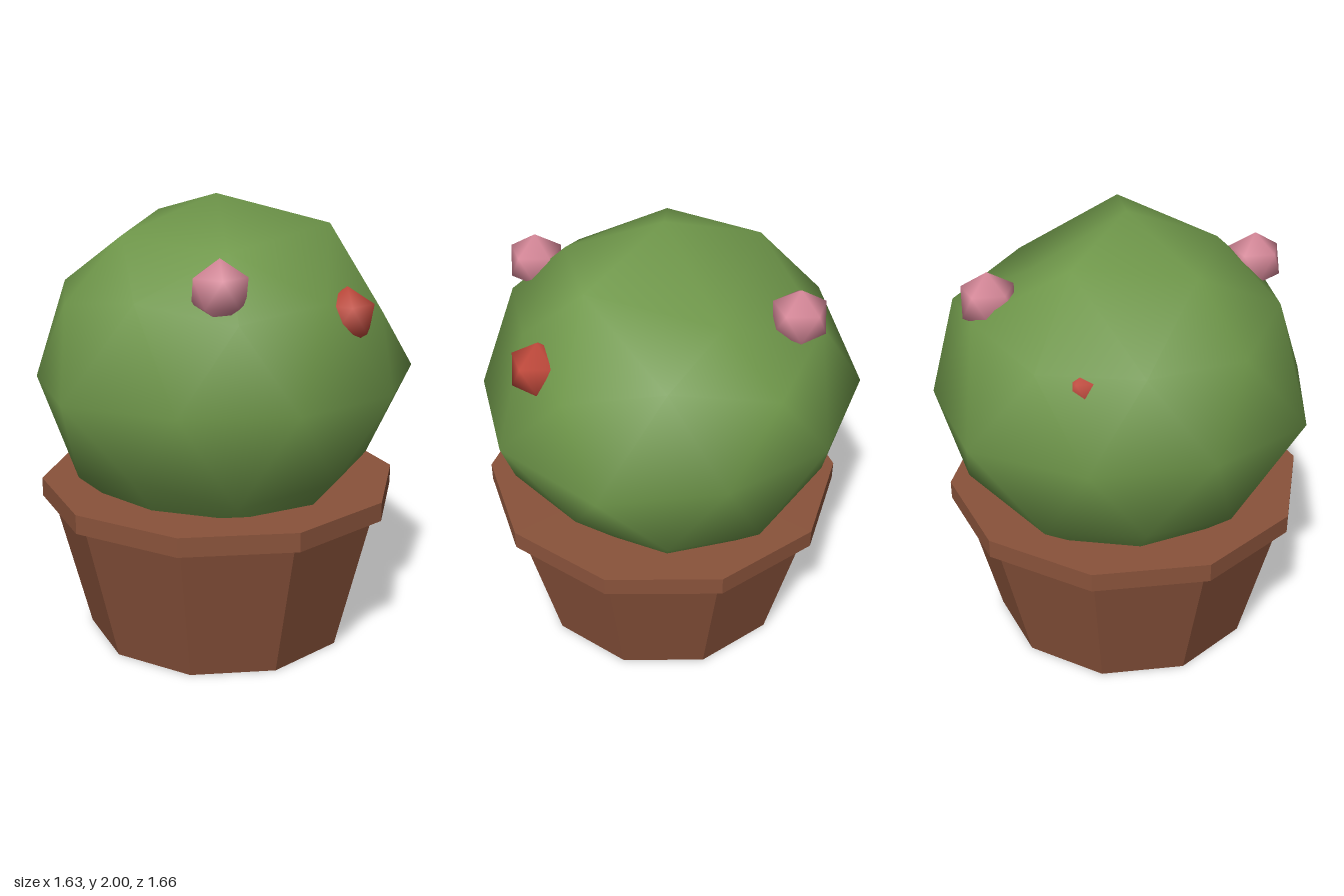
import * as THREE from 'three';

const mat = (name, color) => {
  const m = new THREE.MeshStandardMaterial({ color });
  m.name = name;
  return m;
};

// Icosahedron with a vertex at the top, split `splits` times, as shared vertices
function ball(radius, splits) {
  const verts = [new THREE.Vector3(0, 1, 0)];
  const ring = (y, turn) => {
    for (let i = 0; i < 5; i++) {
      const a = (i * 72 + turn) * Math.PI / 180, r = Math.sqrt(1 - y * y);
      verts.push(new THREE.Vector3(r * Math.cos(a), y, r * Math.sin(a)));
    }
  };
  ring(Math.sqrt(0.2), 0);
  ring(-Math.sqrt(0.2), 36);
  verts.push(new THREE.Vector3(0, -1, 0));

  let faces = [];
  for (let i = 0; i < 5; i++) {
    const j = (i + 1) % 5, u = 1 + i, v = 1 + j, p = 6 + i, q = 6 + j;
    faces.push([0, v, u], [u, v, p], [v, q, p], [11, p, q]);
  }
  for (let s = 0; s < splits; s++) {
    const mids = new Map();
    const mid = (a, b) => {
      const key = Math.min(a, b) + '_' + Math.max(a, b);
      if (!mids.has(key)) {
        mids.set(key, verts.length);
        verts.push(verts[a].clone().add(verts[b]).normalize());
      }
      return mids.get(key);
    };
    faces = faces.flatMap(([a, b, c]) => {
      const ab = mid(a, b), bc = mid(b, c), ca = mid(c, a);
      return [[a, ab, ca], [ab, b, bc], [ca, bc, c], [ab, bc, ca]];
    });
  }
  const g = new THREE.BufferGeometry().setFromPoints(verts.map(v => v.multiplyScalar(radius)));
  g.setIndex(faces.flat());
  g.computeVertexNormals();
  return g;
}

// Moves the nearest vertex onto each target point
function nudge(g, targets) {
  const pos = g.attributes.position, v = new THREE.Vector3();
  for (const t of targets) {
    const goal = new THREE.Vector3(...t);
    let best = 0, bestD = Infinity;
    for (let i = 0; i < pos.count; i++) {
      const d = v.fromBufferAttribute(pos, i).distanceTo(goal);
      if (d < bestD) { bestD = d; best = i; }
    }
    pos.setXYZ(best, ...t);
  }
  g.computeVertexNormals();
  return g;
}

export function createModel() {
  const model = new THREE.Group();
  const clay = mat('clay', 0x8a533b);
  const leaf = mat('leafGreen', 0x6f974a);
  const pink = mat('pinkBloom', 0xd98a9b);
  const red = mat('redBloom', 0xc24a3c);

  const add = (name, geometry, material, x = 0, y = 0, z = 0) => {
    const mesh = new THREE.Mesh(geometry, material);
    mesh.name = name;
    mesh.position.set(x, y, z);
    model.add(mesh);
  };

  // Ten-sided tapered pot with a straight rim
  const faceted = (top, bottom, height) => {
    const g = new THREE.CylinderGeometry(top, bottom, height, 10).toNonIndexed();
    g.computeVertexNormals();
    return g;
  };
  add('potBody', faceted(0.765, 0.605, 0.64), clay, -0.03, 0.32, 0.02);
  add('potRim', faceted(0.81, 0.81, 0.085), clay, -0.03, 0.6825, 0.02);

  // Rounded bush with an uneven surface
  const bush = ball(0.8, 2 - 1).translate(-0.03, 1.21, 0);
  nudge(bush, [
    // crown
    [-0.04, 2, 0.02], [0.46, 1.89, 0.05], [0.1, 1.81, 0.44],
    [-0.4, 1.84, 0.26], [0.1, 1.7, -0.38],
    // shoulders
    [0.69, 1.51, 0], [0.2, 1.54, -0.72], [-0.75, 1.59, 0], [0.49, 1.6, 0.36],
    // widest ring
    [-0.03, 1.21, -0.83], [0.45, 1.21, -0.65], [0.815, 1.21, -0.26], [0.77, 1.21, 0.28],
    [0.44, 1.21, 0.67], [-0.03, 1.21, 0.81], [-0.54, 1.21, 0.71], [-0.8, 1.21, 0.28],
    [-0.82, 1.21, -0.24], [-0.55, 1.21, -0.7],
    // underside
    [-0.79, 0.89, 0], [0.64, 0.86, 0], [-0.25, 0.9, 0.7], [-0.25, 0.9, -0.7],
  ]);
  add('bush', bush, leaf);

  // Small blooms, the red ones mostly sunk into the leaves
  const bloom = ball(0.128, 0);
  add('frontPinkBloom', bloom, pink, 0.1, 1.69, 0.61);
  add('backPinkBloom', bloom, pink, -0.17, 1.69, -0.57);
  add('leftRedBloom', bloom, red, 0.56, 1.525, 0.22);
  add('rightRedBloom', bloom, red, -0.6, 1.5, -0.2);
  return model;
}
